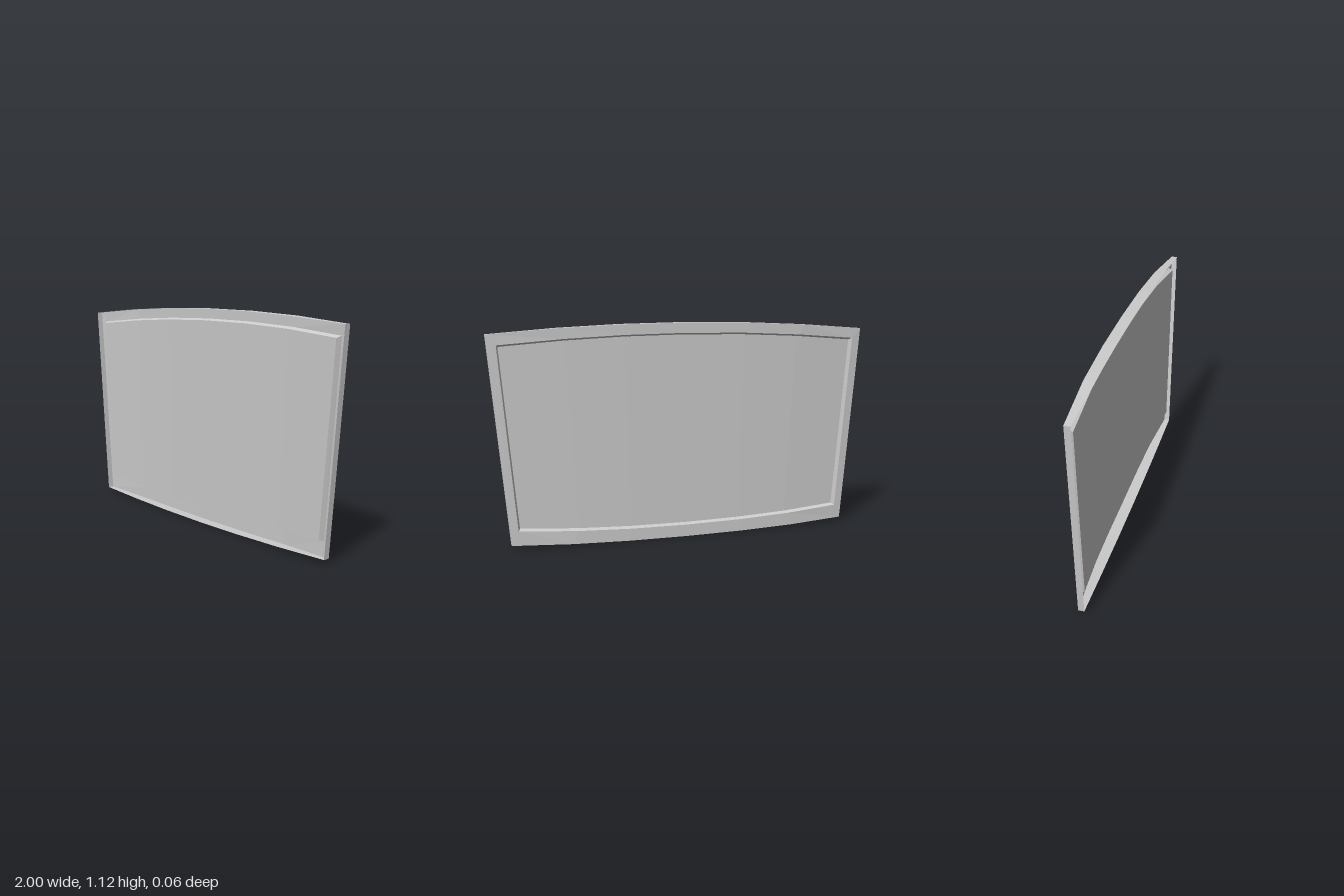
import * as THREE from 'three';

const STEPS = [-1, -0.66, -0.34, 0, 0.34, 0.66, 1];
const material = new THREE.MeshStandardMaterial({ color: 0xcccccc, flatShading: true, side: THREE.DoubleSide });

// Backward bulge of the shell; u is the position across the width, -1 to 1
const bulge = (u) => -0.03 * (1 - Math.pow(Math.abs(u), 3.5));

// Closed outline: arched top edge left to right, then sagging bottom edge right to left
function outline({ top, bottom }, depth) {
  const edge = ([half, y, rise], outerHalf) => STEPS.map((t) =>
    new THREE.Vector3(t * half, y + rise * (1 - t * t), depth(t * half / outerHalf)));
  return [...edge(top, 1), ...edge(bottom, 0.905).reverse()];
}

// Strip of quads between two matching rows of points
function strip(name, a, b, closed) {
  const pos = [];
  const n = a.length;
  for (let i = 0; i < (closed ? n : n - 1); i++) {
    const j = (i + 1) % n;
    for (const p of [a[i], a[j], b[i], a[j], b[j], b[i]]) pos.push(p.x, p.y, p.z);
  }
  const geo = new THREE.BufferGeometry();
  geo.setAttribute('position', new THREE.Float32BufferAttribute(pos, 3));
  geo.computeVertexNormals();
  const mesh = new THREE.Mesh(geo, material);
  mesh.name = name;
  return mesh;
}

export function createModel() {
  const group = new THREE.Group();
  group.name = 'curvedPanel';

  // Each edge: half width, height at the corner, rise at the middle
  const outer = { top: [1, 1.07, 0.045], bottom: [0.905, 0.022, -0.022] };
  const inner = { top: [0.95, 1.018, 0.045], bottom: [0.87, 0.094, -0.032] };
  const sunk = { top: [0.94, 1.009, 0.045], bottom: [0.86, 0.102, -0.032] };

  const rim = outline(outer, () => 0.03);
  const backOuter = outline(outer, bulge);
  const backInner = outline(inner, bulge);
  const panelEdge = outline(sunk, (u) => bulge(u) + 0.025);
  const n = STEPS.length;

  group.add(
    strip('outerWall', rim, backOuter, true),
    strip('backFrame', backOuter, backInner, true),
    strip('recessWall', backInner, panelEdge, true),
    strip('panel', panelEdge.slice(0, n), panelEdge.slice(n).reverse(), false),
  );
  return group;
}
